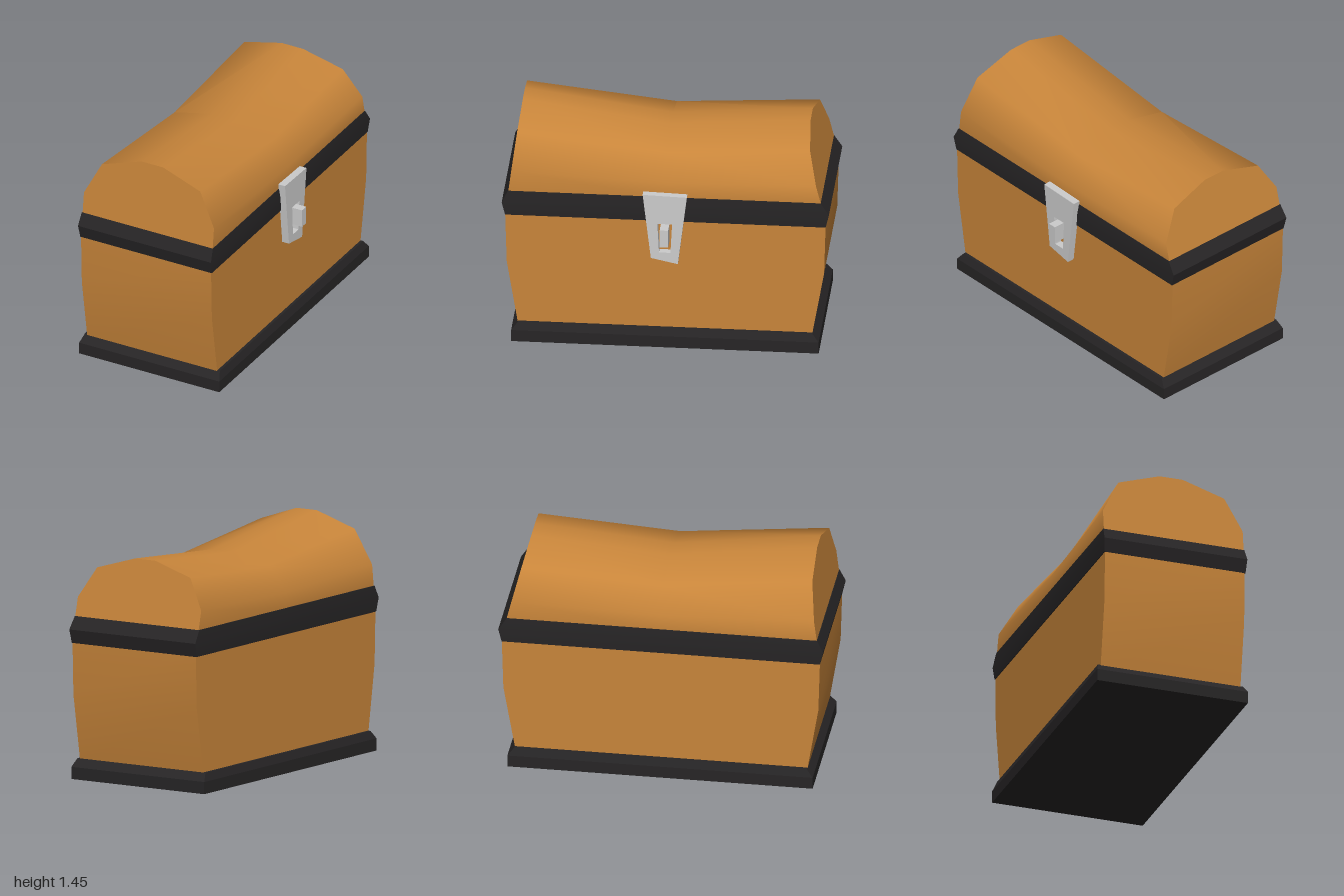
import * as THREE from 'three';
import { toCreasedNormals } from 'three/addons/utils/BufferGeometryUtils.js';

const wood = new THREE.MeshStandardMaterial({ color: 0xc8853a });
const iron = new THREE.MeshStandardMaterial({ color: 0x272526 });
const metal = new THREE.MeshStandardMaterial({ color: 0xcccccc });

// Closed solid through convex rings of points, each anticlockwise seen from the last ring's end
function loft(rings, crease) {
  const n = rings[0].length, last = rings.length - 1, index = [];
  for (let i = 0; i < last; i++) {
    for (let j = 0; j < n; j++) {
      const k = (j + 1) % n, a = i * n + j, b = i * n + k;
      index.push(a, b, b + n, a, b + n, a + n);
    }
  }
  for (let j = 1; j < n - 1; j++) {
    index.push(0, j + 1, j);
    index.push(last * n, last * n + j, last * n + j + 1);
  }
  const geometry = new THREE.BufferGeometry();
  geometry.setAttribute('position', new THREE.Float32BufferAttribute(rings.flat(2), 3));
  geometry.setIndex(index);
  return toCreasedNormals(geometry, crease);
}

// Rectangular ring at height y
const rect = ([y, x0, x1, z0, z1]) => [[x0, y, z1], [x1, y, z1], [x1, y, z0], [x0, y, z0]];

export function createModel() {
  const group = new THREE.Group();
  const add = (name, geometry, material) => {
    const mesh = new THREE.Mesh(geometry, material);
    mesh.name = name;
    group.add(mesh);
    return mesh;
  };

  // Base plinth with a chamfered top
  add('base', loft([
    [0, -0.525, 0.45, -0.94, 0.94],
    [0.075, -0.525, 0.45, -0.94, 0.94],
    [0.125, -0.507, 0.432, -0.9, 0.9],
  ].map(rect), 0.3), iron);

  // Body, bulging towards both ends
  add('body', loft([
    [0.1, -0.49, 0.415, -0.895, 0.9],
    [0.53, -0.49, 0.415, -0.97, 0.97],
    [0.87, -0.49, 0.415, -0.98, 0.98],
  ].map(rect), 0.6), wood);

  // Rim band
  add('rimBand', loft([
    [0.85, -0.495, 0.42, -0.98, 0.98],
    [0.935, -0.5, 0.425, -1, 1],
    [1.012, -0.495, 0.418, -0.95, 0.963],
  ].map(rect), 0.3), iron);

  // Domed lid: one arch, squashed by a different amount at back, middle and front
  const floor = 1.01;
  const arch = [[0.415, 0], [0.415, 0.135], [0.305, 0.35], [0.04, 0.44],
    [-0.11, 0.44], [-0.38, 0.35], [-0.49, 0.135], [-0.49, 0]];
  const section = (scale, z, lean) =>
    arch.map(([x, h]) => [x, floor + h * scale, z + lean * h / 0.44]);
  add('lid', loft([
    section(0.864, -0.95, 0.095),
    section(0.716, 0, 0),
    section(1, 0.96, -0.055),
  ], 0.87), wood);

  // Lock plate with a slot, drawn in (-z, y) and extruded towards +x
  const outline = (points) => points.map(([z, y]) => new THREE.Vector2(-z, y));
  const plate = new THREE.Shape(outline([[0.135, 1.045], [0.085, 0.615], [-0.08, 0.58], [-0.135, 1.037]]));
  plate.holes.push(new THREE.Path(outline([[0.045, 0.85], [-0.045, 0.85], [-0.035, 0.655], [0.035, 0.655]])));
  const plateGeometry = new THREE.ExtrudeGeometry(plate, { depth: 0.06, bevelEnabled: false });
  plateGeometry.rotateY(Math.PI / 2);
  add('lockPlate', plateGeometry, metal).position.x = 0.402;

  // Staple standing through the slot
  add('staple', new THREE.BoxGeometry(0.12, 0.115, 0.052), metal).position.set(0.46, 0.778, 0);

  return group;
}
